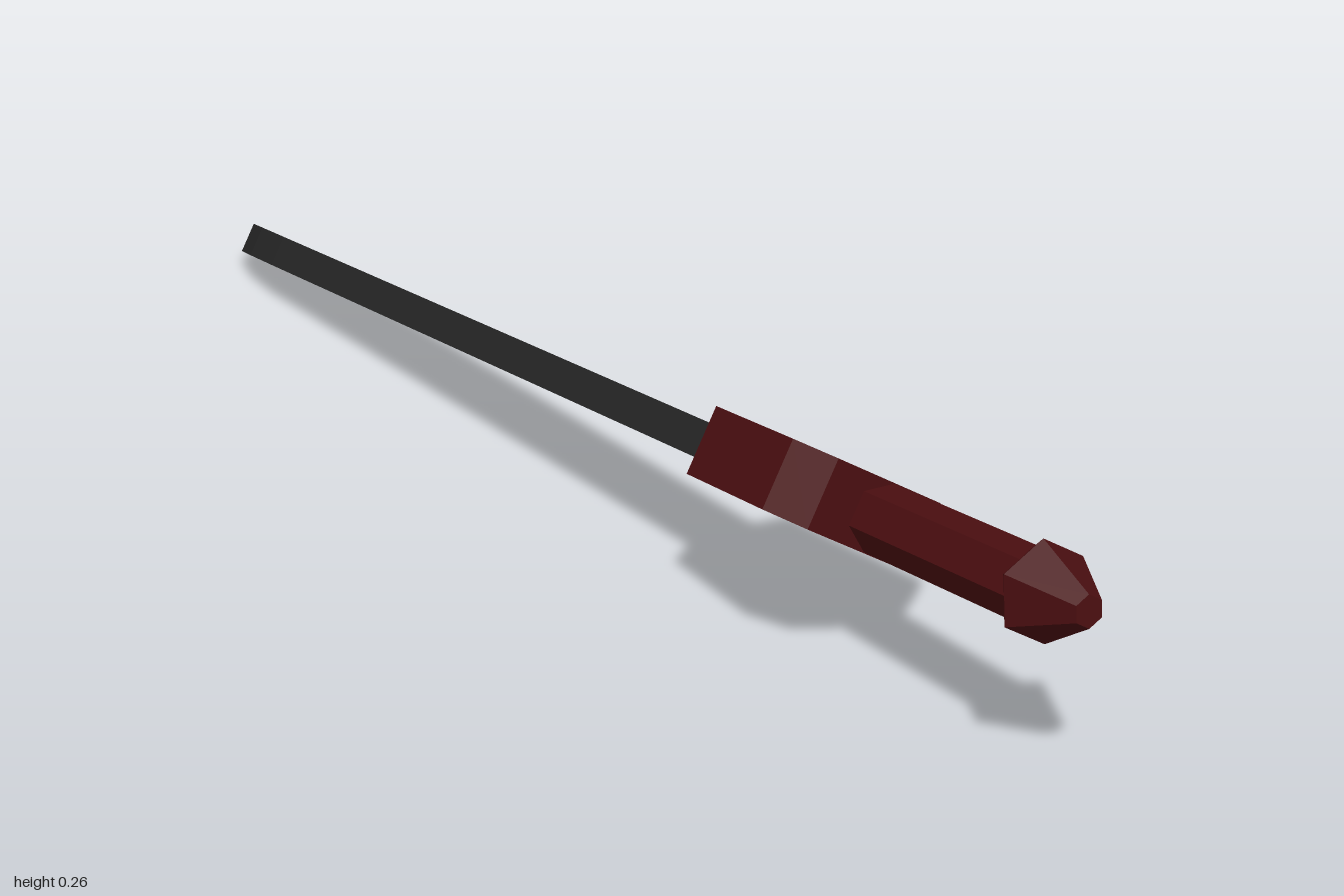
import * as THREE from 'three';

const red = new THREE.MeshStandardMaterial({ color: 0x4a0e10, flatShading: true });
const black = new THREE.MeshStandardMaterial({ color: 0x262626, flatShading: true });

// Flat slab: outline as [across, along] pairs, centred on its thickness
function slab(name, outline, thickness, material) {
  const shape = new THREE.Shape(outline.map(([u, w]) => new THREE.Vector2(u, w)));
  const geometry = new THREE.ExtrudeGeometry(shape, { depth: thickness, bevelEnabled: false });
  geometry.translate(0, 0, -thickness / 2).rotateX(Math.PI / 2);
  const mesh = new THREE.Mesh(geometry, material);
  mesh.name = name;
  return mesh;
}

// Six-sided turned part along the sword: profile as [radius, along] pairs
function hexTurned(name, profile, start, material) {
  const points = profile.map(([r, w]) => new THREE.Vector2(r, w));
  const geometry = new THREE.LatheGeometry(points, 6, start).rotateX(Math.PI / 2);
  const mesh = new THREE.Mesh(geometry, material);
  mesh.name = name;
  return mesh;
}

export function createModel() {
  const model = new THREE.Group();
  model.name = 'sword';

  const sword = new THREE.Group();
  sword.name = 'tiltedSword';
  model.add(sword);

  // Blade, running from inside the guard to the pointed tip
  sword.add(slab('blade', [
    [0.04, 0.45], [-0.058, 0.45], [-0.055, -0.8], [-0.045, -0.89],
    [-0.022, -0.965], [-0.002, -1.002], [0.002, -1.002],
    [0.02, -0.965], [0.042, -0.89], [0.051, -0.8],
  ], 0.042, black));

  // Guard with a slanted rear edge
  sword.add(slab('guard', [
    [-0.091, 0.39], [0.089, 0.317], [0.118, 0.563],
    [0.07, 0.62], [-0.085, 0.632], [-0.113, 0.581],
  ], 0.082, red));

  // Grip and pommel
  sword.add(hexTurned('grip', [[0.04, 0.58], [0.04, 0.92]], 0, red));
  sword.add(hexTurned('pommel', [
    [0, 0.9], [0.036, 0.9], [0.056, 0.926], [0.018, 1.002], [0, 1.002],
  ], Math.PI / 2, red));

  // Roll and pitch of the whole sword
  const along = new THREE.Vector3(0.021, 0.087, 1).normalize();
  const thick = new THREE.Vector3(0.5, 0.866, 0).addScaledVector(along, -0.0858).normalize();
  const across = new THREE.Vector3().crossVectors(thick, along);
  sword.quaternion.setFromRotationMatrix(new THREE.Matrix4().makeBasis(across, thick, along));
  sword.position.set(-0.014, 0.12, 0);

  return model;
}
